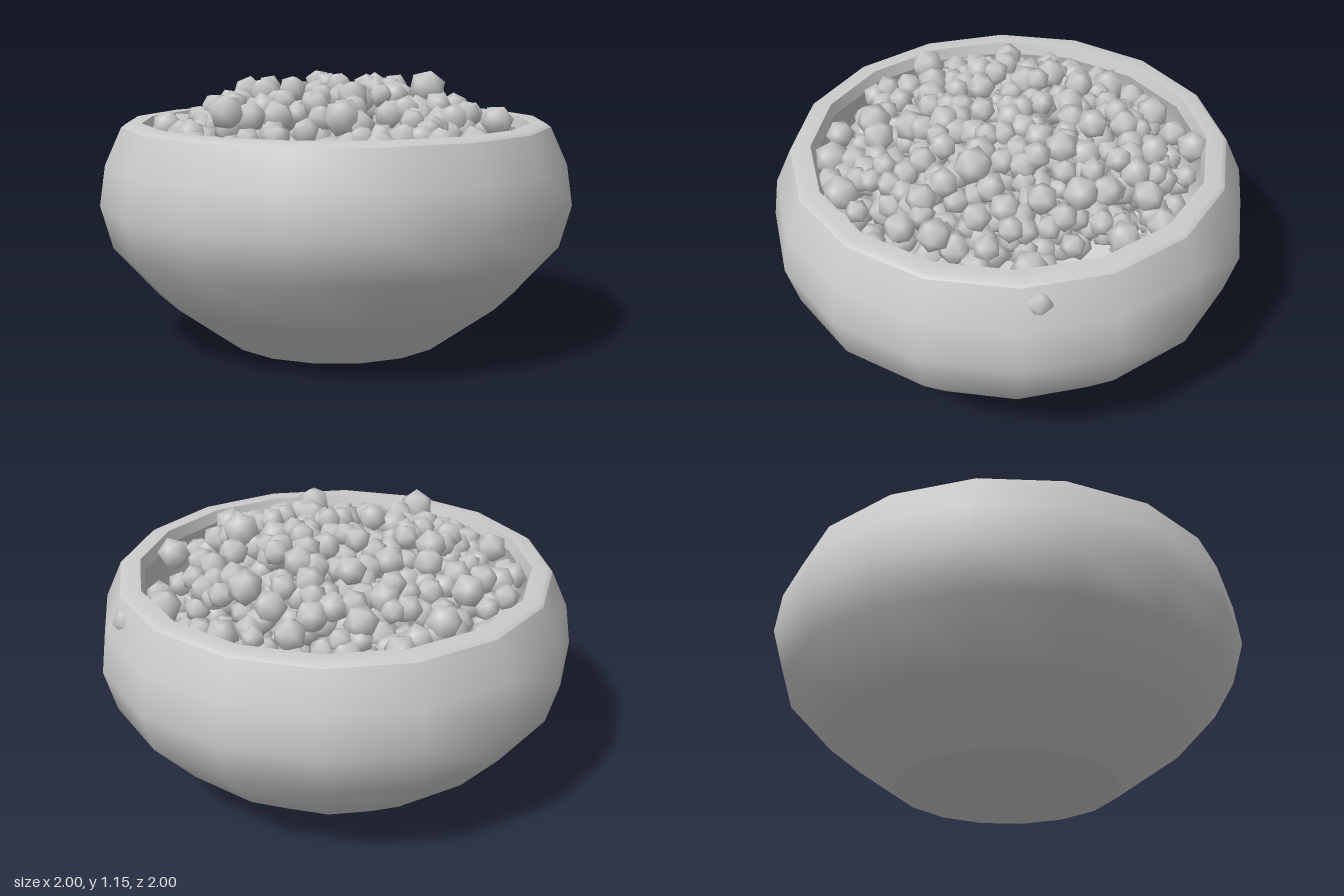
import * as THREE from 'three';
import { mergeGeometries } from 'three/addons/utils/BufferGeometryUtils.js';

const SIDES = 16;
const grey = new THREE.MeshStandardMaterial({ color: 0xcccccc });

// Small seeded generator, so the heap is always the same
function seeded(seed) {
  return () => {
    seed = (seed * 1664525 + 1013904223) >>> 0;
    return seed / 4294967296;
  };
}

// Smooth turned band of the bowl; separate bands keep the edges between them sharp
function band(name, profile) {
  const points = profile.map(([r, y]) => new THREE.Vector2(r, y));
  const mesh = new THREE.Mesh(new THREE.LatheGeometry(points, SIDES), grey);
  mesh.name = name;
  return mesh;
}

function createBowl() {
  const bowl = new THREE.Group();
  bowl.name = 'bowl';
  bowl.add(
    band('base', [[0, 0], [0.47, 0]]),
    band('outerWall', [[0.47, 0], [0.76, 0.21], [0.95, 0.42], [1, 0.6], [0.975, 0.77], [0.905, 0.925]]),
    band('rim', [[0.905, 0.925], [0.885, 0.94], [0.82, 0.94]]),
    band('lip', [[0.82, 0.94], [0.805, 0.89]]),
    band('innerWall', [[0.805, 0.89], [0.84, 0.77], [0.86, 0.6], [0.81, 0.46], [0.64, 0.28], [0.38, 0.12], [0, 0.1]])
  );
  return bowl;
}

// Low-poly ball with smooth shading, turned at random
function ball(x, y, z, radius, random) {
  const geometry = new THREE.IcosahedronGeometry(1, 0);
  geometry.setAttribute('normal', geometry.attributes.position.clone());
  geometry.rotateX(random() * 6.28).rotateY(random() * 6.28).rotateZ(random() * 6.28);
  return geometry.scale(radius, radius, radius).translate(x, y, z);
}

function createHeap() {
  const random = seeded(71);
  // Large balls that stand out on top of the heap: x, y, z, radius
  const placed = [
    [-0.25, 1.05, -0.31, 0.07], [-0.6, 1.01, 0.12, 0.075], [-0.09, 1.06, 0.25, 0.07],
    [0.27, 1.08, 0.28, 0.08], [-0.2, 0.95, -0.57, 0.075], [0.03, 0.92, -0.66, 0.075],
    [-0.3, 1, 0.48, 0.075], [0.45, 0.95, 0.52, 0.07], [-0.01, 0.9, 0.73, 0.075],
    [0.52, 1.01, -0.06, 0.075], [0.43, 0.96, -0.35, 0.07], [-0.65, 0.92, -0.29, 0.07],
    [0.6, 0.87, -0.2, 0.05], [0.7, 0.88, 0.24, 0.075], [0.71, 0.9, -0.15, 0.07],
    [0.3, 0.9, -0.7, 0.07], [-0.72, 0.88, 0.07, 0.065], [-0.28, 0.88, 0.68, 0.075],
    [0.27, 0.88, 0.59, 0.07], [0.22, 0.84, 0.69, 0.05], [0.29, 0.85, 0.71, 0.055],
    [0.54, 0.92, -0.35, 0.07], [-0.16, 0.86, 0.73, 0.06], [0.08, 0.86, 0.7, 0.05]
  ];
  // Fill the domed layer, sparser towards the edge
  for (let tries = 0; tries < 9000 && placed.length < 600; tries++) {
    const r = 0.76 * Math.pow(random(), 0.55);
    const angle = random() * Math.PI * 2;
    const radius = 0.05 + 0.022 * random();
    const x = r * Math.cos(angle);
    const z = r * Math.sin(angle);
    const y = 1.165 - 0.38 * r * r - radius - 0.32 * random();
    const bareEdge = r > 0.58 && (angle < 0.2 || angle > 5.8 || (angle > 0.9 && angle < 1.5));
    if (bareEdge || (r > 0.64 && random() < 0.65)) continue;
    const clear = placed.every(([a, b, c]) => Math.hypot(a - x, b - y, c - z) > 0.06);
    if (clear) placed.push([x, y, z, radius]);
  }
  // One ball is lodged in the wall
  placed.push([0.853, 0.85, 0.28, 0.06]);
  const heap = new THREE.Mesh(mergeGeometries(placed.map((p) => ball(...p, random))), grey);
  heap.name = 'heapOfBalls';
  return heap;
}

export function createModel() {
  const model = new THREE.Group();
  model.name = 'filledBowl';
  model.add(createBowl(), createHeap());
  return model;
}
